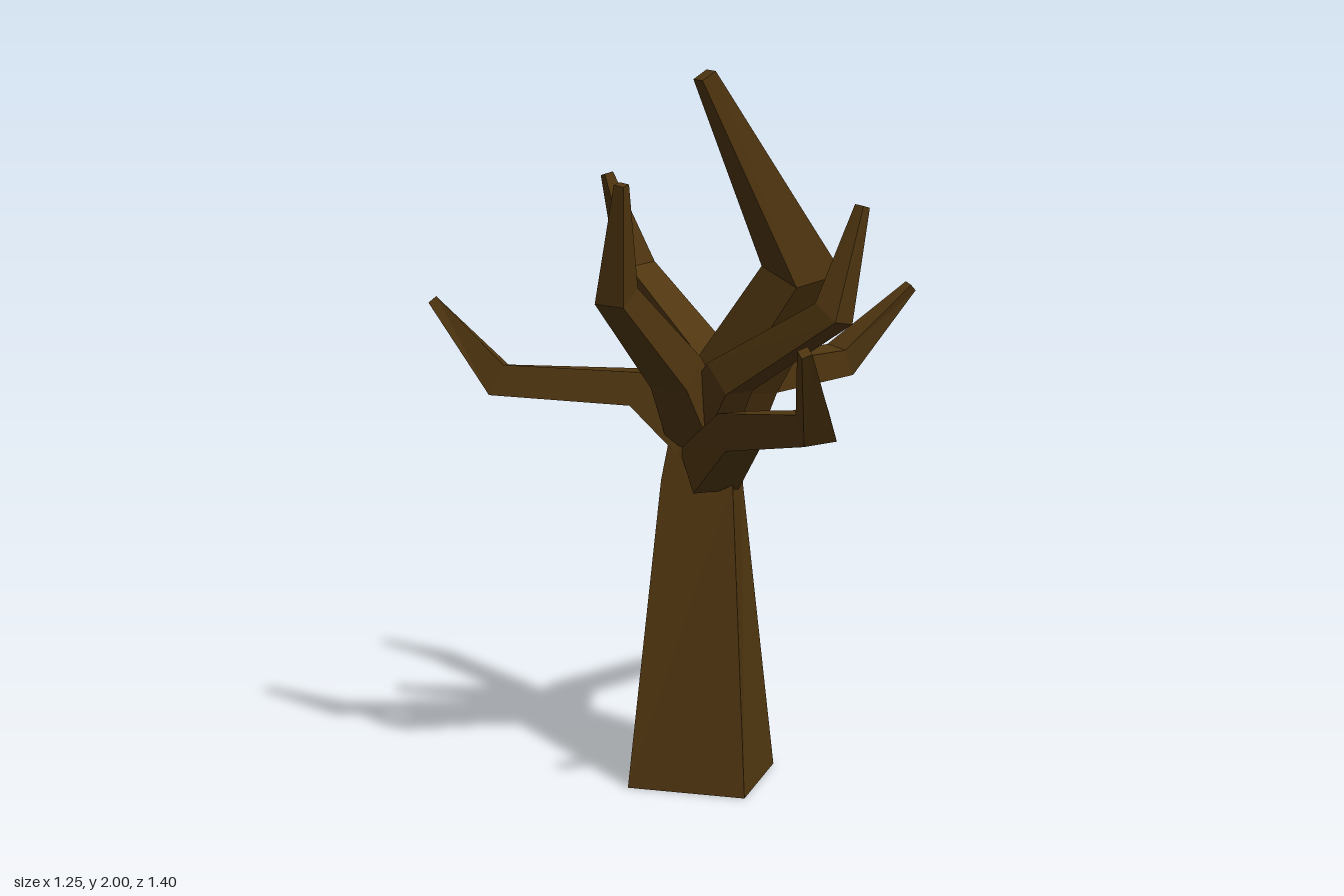
import * as THREE from 'three';

// Flat-shaded loft through rings of four corners, capped at both ends
function loft(name, rings, material) {
  const pos = [];
  const tri = (a, b, c) => pos.push(...a.toArray(), ...b.toArray(), ...c.toArray());
  for (let k = 0; k < rings.length - 1; k++) {
    const a = rings[k], b = rings[k + 1];
    for (let i = 0; i < 4; i++) {
      const j = (i + 1) % 4;
      tri(a[i], a[j], b[j]);
      tri(a[i], b[j], b[i]);
    }
  }
  const s = rings[0], e = rings[rings.length - 1];
  tri(s[0], s[2], s[1]);
  tri(s[0], s[3], s[2]);
  tri(e[0], e[1], e[2]);
  tri(e[0], e[2], e[3]);
  const geo = new THREE.BufferGeometry();
  geo.setAttribute('position', new THREE.Float32BufferAttribute(pos, 3));
  geo.computeVertexNormals();
  const mesh = new THREE.Mesh(geo, material);
  mesh.name = name;
  return mesh;
}

// Square section swept along a bent path; each stop is [x, y, z, corner radius]
function limb(name, stops, material, roll = 45, sideDir = null) {
  const pts = stops.map(([x, y, z]) => new THREE.Vector3(x, y, z));
  const up = new THREE.Vector3(0, 1, 0);
  const ref = sideDir
    ? new THREE.Vector3(...sideDir)
    : new THREE.Vector3().subVectors(pts[2], pts[0]).cross(up).normalize();
  const dir = (i) => new THREE.Vector3().subVectors(pts[i + 1], pts[i]).normalize();
  const last = pts.length - 1;
  const rings = pts.map((p, i) => {
    const t = new THREE.Vector3();
    if (i > 0) t.add(dir(i - 1));
    if (i < last) t.add(dir(i));
    t.normalize();
    const side = ref.clone().addScaledVector(t, -ref.dot(t)).normalize();
    const lift = new THREE.Vector3().crossVectors(t, side);
    return [0, 1, 2, 3].map((k) => {
      const a = THREE.MathUtils.degToRad(roll + k * 90), r = stops[i][3];
      return p.clone().addScaledVector(side, Math.cos(a) * r).addScaledVector(lift, Math.sin(a) * r);
    });
  });
  return loft(name, rings, material);
}

// Horizontal square of the trunk, turned slightly about its axis
function trunkRing(x, y, z, half, turn) {
  return [0, 1, 2, 3].map((k) => {
    const a = Math.PI / 4 + turn - k * Math.PI / 2;
    const r = half * Math.SQRT2;
    return new THREE.Vector3(x + Math.cos(a) * r, y, z + Math.sin(a) * r);
  });
}

export function createModel() {
  const bark = new THREE.MeshStandardMaterial({ color: 0x503610 });
  bark.name = 'bark';
  const tree = new THREE.Group();
  tree.name = 'bareTree';

  // Tapered trunk, narrowing into the fork
  tree.add(loft('trunk', [
    trunkRing(0.11, 0, -0.02, 0.17, 0),
    trunkRing(0.11, 0.88, -0.01, 0.1, -0.13),
    trunkRing(0.13, 1.14, 0, 0.07, -0.13),
  ], bark));

  // Branches: root, joint, elbow, tip
  const branches = {
    backRaisedBranch: [[0.12, 1.02, -0.03, 0.1], [0.07, 1.2, -0.14, 0.08], [-0.19, 1.42, -0.36, 0.063], [-0.275, 1.71, -0.34, 0.02]],
    backLowBranch: [[0.12, 0.97, -0.05, 0.1], [0.195, 1.13, -0.24, 0.07], [0.38, 1.15, -0.595, 0.062], [0.575, 1.37, -0.685, 0.02]],
    sideLowBranch: [[0.1, 0.98, 0, 0.1], [-0.06, 1.135, 0.085, 0.07], [-0.405, 1.16, 0.23, 0.065], [-0.612, 1.37, 0.19, 0.02]],
    frontRaisedBranch: [[0.12, 1.0, 0.03, 0.1], [0.09, 1.19, 0.18, 0.08], [0.01, 1.42, 0.46, 0.06], [0.05, 1.71, 0.54, 0.02]],
    frontLowBranch: [[0.15, 0.91, 0.06, 0.1], [0.27, 1.04, 0.19, 0.075], [0.545, 1.1, 0.475, 0.062], [0.56, 1.315, 0.68, 0.02]],
    sideRaisedBranch: [[0.13, 1.02, 0.05, 0.09], [0.23, 1.18, 0.14, 0.075], [0.54, 1.37, 0.255, 0.058], [0.605, 1.65, 0.22, 0.02]],
  };
  for (const [name, stops] of Object.entries(branches)) tree.add(limb(name, stops, bark));

  // Thick leading branch, bending forward to the highest tip
  tree.add(limb('topBranch', [
    [0.13, 0.96, -0.03, 0.12], [0.22, 1.17, 0.02, 0.12],
    [0.415, 1.47, 0.085, 0.11], [0.22, 1.985, 0.37, 0.032],
  ], bark, 0, [1, 0.1, -0.05]));

  return tree;
}
